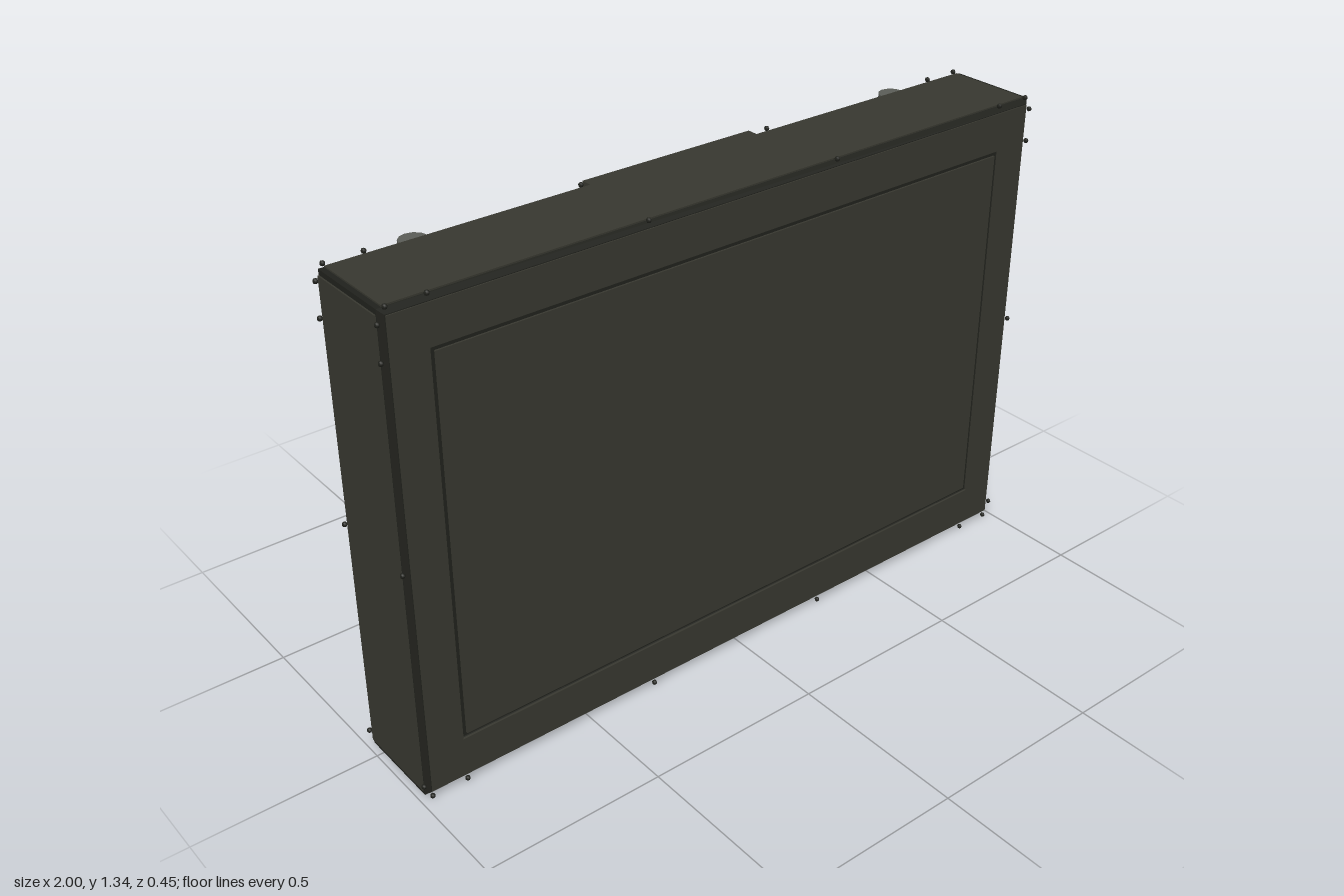
import * as THREE from 'three';
import { ConvexGeometry } from 'three/addons/geometries/ConvexGeometry.js';

const mat = (name, color) => {
  const m = new THREE.MeshStandardMaterial({ color });
  m.name = name;
  return m;
};

export function createModel() {
  const M = {
    casing: mat('dark olive casing', 0x37372f),
    trim: mat('black trim', 0x20211c),
    shell: mat('taupe shell', 0x85796b),
    label: mat('pale label', 0xaba18b),
    steel: mat('grey steel', 0x5a5c57),
    handle: mat('dark steel', 0x484b47),
    mesh: mat('grille slat', 0x2d2e29),
  };
  const model = new THREE.Group();
  model.name = 'wallUnit';

  const add = (parent, name, geo, material) => {
    const m = new THREE.Mesh(geo, material);
    m.name = name;
    parent.add(m);
    return m;
  };
  // box given by its extents on each axis
  const box = (parent, name, material, [x0, x1], [y0, y1], [z0, z1]) => {
    const m = add(parent, name, new THREE.BoxGeometry(x1 - x0, y1 - y0, z1 - z0), material);
    m.position.set((x0 + x1) / 2, (y0 + y1) / 2, (z0 + z1) / 2);
    return m;
  };
  const rect = (P, hx, y0, y1) => new P([
    new THREE.Vector2(-hx, y0), new THREE.Vector2(hx, y0),
    new THREE.Vector2(hx, y1), new THREE.Vector2(-hx, y1)]);
  // rectangular ring between z0 and z1, with optional bevel
  const ring = (name, material, outer, inner, z0, z1, bevel = 0) => {
    const shape = rect(THREE.Shape, ...outer);
    shape.holes.push(rect(THREE.Path, ...inner));
    const geo = new THREE.ExtrudeGeometry(shape, {
      depth: z1 - z0 - 2 * bevel, bevelEnabled: bevel > 0, bevelSize: bevel,
      bevelThickness: bevel, bevelOffset: -bevel, bevelSegments: 1,
    });
    add(model, name, geo, material).position.z = z0 + bevel;
  };

  // casing: bevelled black frame carrying flat olive panels
  const mid = 0.672;
  ring('casingFrame', M.trim, [0.986, 0.014, 1.331], [0.87, 0.145, 1.205], -0.048, 0.219, 0.012);
  ring('frontBorder', M.casing, [0.972, 0.028, 1.317], [0.876, 0.139, 1.211], 0.216, 0.222);
  ring('backBorder', M.casing, [0.972, 0.028, 1.317], [0.884, 0.131, 1.219], -0.052, -0.046);
  box(model, 'screenCore', M.trim, [-0.872, 0.872], [0.143, 1.207], [0.1, 0.216]);
  box(model, 'frontScreen', M.casing, [-0.864, 0.864], [0.151, 1.199], [0.214, 0.221]);
  box(model, 'recessFloor', M.casing, [-0.87, 0.87], [0.145, 1.205], [0.094, 0.101]);
  box(model, 'topPanel', M.casing, [-0.972, 0.972], [1.328, 1.335], [-0.034, 0.205]);
  box(model, 'bottomPanel', M.casing, [-0.972, 0.972], [0.01, 0.017], [-0.034, 0.205]);
  for (const s of [-1, 1]) {
    box(model, 'sidePanel', M.casing, s < 0 ? [-0.99, -0.983] : [0.983, 0.99], [0.028, 1.317], [-0.034, 0.205]);
  }

  // small bolts along the casing edges
  const boltGeo = new THREE.SphereGeometry(0.007, 6, 4);
  const bolt = (x, y, z) => add(model, 'bolt', boltGeo, M.trim).position.set(x, y, z);
  for (const z of [-0.045, 0.216]) {
    for (const x of [-0.97, -0.87, -0.29, 0.29, 0.87, 0.97]) {
      for (const y of [0.009, 1.336]) bolt(x, y, z);
    }
    for (const y of [0.05, mid, 1.21, 1.3]) {
      for (const x of [-0.991, 0.991]) bolt(x, y, z);
    }
  }

  // one rear cabinet: chamfered black body, taupe panels, grille and handle
  const hx = 0.305, hy = 0.465, c = 0.04;
  const zBack = -0.185, zIn = 0.095;
  const cabinetGeo = () => {
    const pts = [];
    for (const sx of [-1, 1]) for (const sy of [-1, 1]) {
      for (const z of [zBack + c * 0.9, zIn]) {
        pts.push(new THREE.Vector3(sx * hx, sy * (hy - c), z));
        pts.push(new THREE.Vector3(sx * (hx - c), sy * hy, z));
      }
      pts.push(new THREE.Vector3(sx * (hx - c), sy * (hy - c), zBack));
    }
    return new ConvexGeometry(pts);
  };
  const e = 0.003;
  for (const s of [-1, 1]) {
    const cab = new THREE.Group();
    cab.name = s < 0 ? 'rightCabinet' : 'leftCabinet';
    cab.position.set(s * 0.397, 0.675, 0);
    model.add(cab);
    add(cab, 'cabinetBody', cabinetGeo(), M.trim);
    box(cab, 'rearPanel', M.shell, [-hx + c, hx - c], [-hy + c, hy - c], [zBack - e, zBack + e]);
    for (const d of [-1, 1]) {
      box(cab, 'cabinetSide', M.shell, [d * hx - e, d * hx + e], [-hy + c, hy - c], [-0.15, zIn]);
      box(cab, 'cabinetEnd', M.shell, [-hx + c, hx - c], [d * hy - e, d * hy + e], [-0.15, zIn]);
    }
    // grille with fine slats
    box(cab, 'grille', M.trim, [-0.21, 0.21], [-0.31, 0.325], [-0.197, zBack]);
    for (let i = 0; i < 30; i++) {
      const y = -0.29 + i * 0.0205;
      box(cab, 'grilleSlat', M.mesh, [-0.198, 0.198], [y, y + 0.007], [-0.2, -0.196]);
    }
    // handle bar with dark rims
    box(cab, 'handleBar', M.handle, [-0.258, 0.258], [-0.378, -0.282], [-0.222, zBack]);
    for (const d of [-1, 1]) {
      box(cab, 'handleEnd', M.trim, [d * 0.262 - 0.006, d * 0.262 + 0.006], [-0.384, -0.276], [-0.225, zBack]);
      box(cab, 'handleRim', M.trim, [-0.262, 0.262], [-0.33 + d * 0.05 - 0.004, -0.33 + d * 0.05 + 0.004], [-0.224, zBack]);
    }

    // upright pole and its clamps
    const pole = add(model, 'pole', new THREE.CylinderGeometry(0.036, 0.036, 1.305, 12), M.steel);
    pole.position.set(s * 0.742, mid, -0.053);
    for (const y of [0.213, 1.132]) {
      const clamp = box(model, 'poleClamp', M.casing, [-0.06, 0.06], [y - 0.032, y + 0.032], [-0.097, -0.03]);
      clamp.position.x = s * 0.73;
    }
  }

  // label plates on dark mounts: top, bottom and between the cabinets
  for (const d of [-1, 1]) {
    const y = mid + d * 0.583;
    box(model, 'plateMount', M.casing, [-0.26, 0.26], [y - 0.072, y + 0.072], [-0.08, -0.04]);
    box(model, 'plateRim', M.trim, [-0.207, 0.207], [y - 0.046, y + 0.046], [-0.084, -0.078]);
    box(model, 'labelPlate', M.label, [-0.198, 0.198], [y - 0.037, y + 0.037], [-0.09, -0.081]);
  }
  box(model, 'centreMount', M.trim, [-0.09, 0.09], [0.36, 0.98], [-0.085, -0.04]);
  box(model, 'centrePlate', M.label, [-0.08, 0.08], [0.38, 0.96], [-0.091, -0.083]);

  return model;
}
